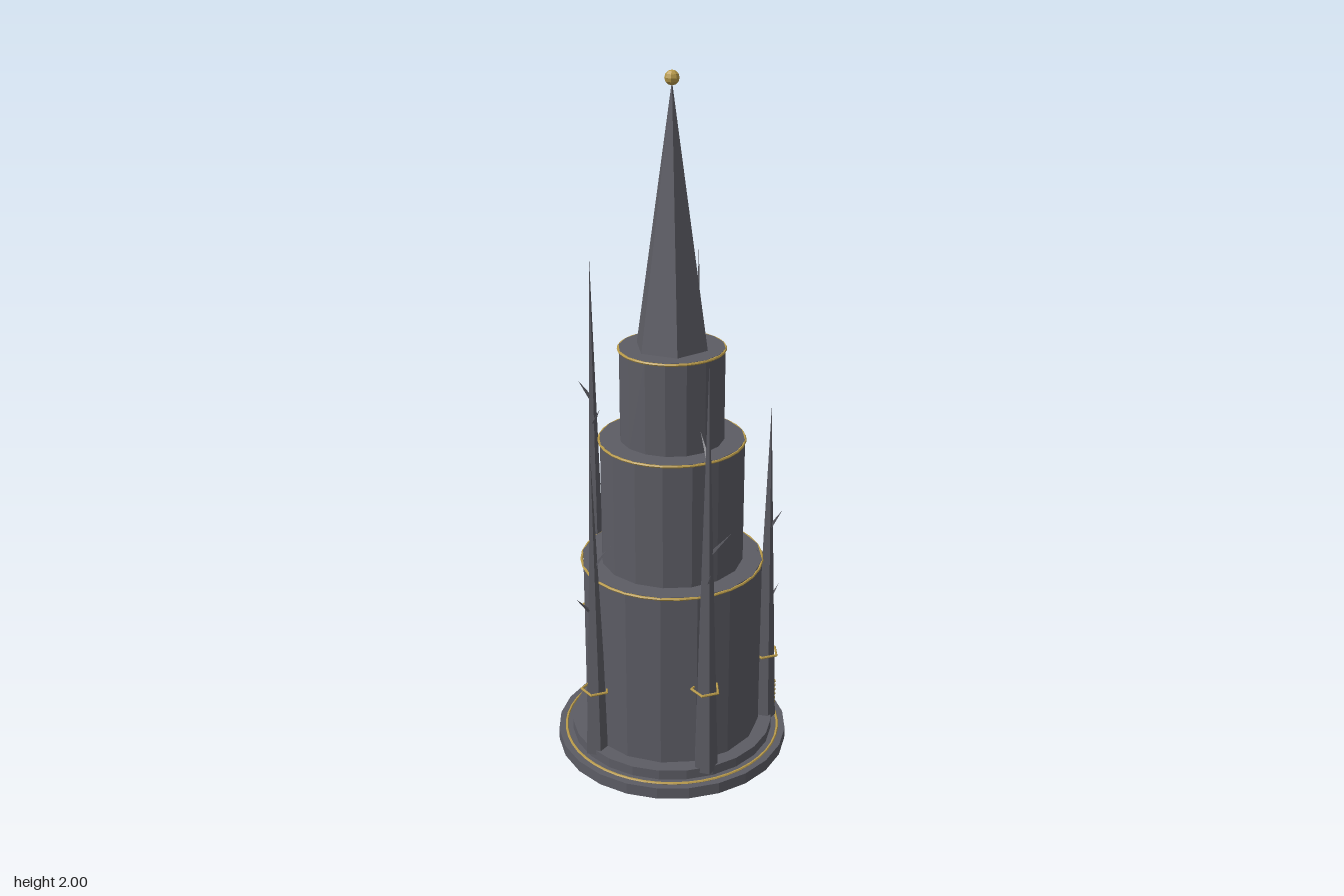
import * as THREE from 'three';

const stone = new THREE.MeshStandardMaterial({ color: 0x5c5c64, flatShading: true });
stone.name = 'stone';
const gold = new THREE.MeshStandardMaterial({ color: 0xb89a4a, flatShading: true });
gold.name = 'gold';

export function createModel() {
  const model = new THREE.Group();
  model.name = 'tower';

  const add = (parent, name, geometry, material, x = 0, y = 0, z = 0) => {
    const mesh = new THREE.Mesh(geometry, material);
    mesh.name = name;
    mesh.position.set(x, y, z);
    parent.add(mesh);
    return mesh;
  };
  const drum = (name, radius, y0, y1, sides) =>
    add(model, name, new THREE.CylinderGeometry(radius, radius, y1 - y0, sides), stone, 0, (y0 + y1) / 2, 0);
  const flatRing = (radius, tube, sides) =>
    new THREE.TorusGeometry(radius, tube, 6, sides).rotateX(Math.PI / 2);

  // Stepped base
  drum('baseSlab', 0.348, 0, 0.035, 24);
  drum('baseStep', 0.305, 0.035, 0.065, 24);
  add(model, 'baseTrim', flatRing(0.324, 0.004, 48), gold, 0, 0.036, 0);

  // Three tiers, each with a gold trim at its top edge
  [
    ['lowerTier', 0.265, 0.065, 0.608],
    ['middleTier', 0.208, 0.608, 0.983],
    ['upperTier', 0.149, 0.983, 1.253],
  ].forEach(([name, radius, y0, y1]) => {
    drum(name, radius, y0, y1, 16);
    add(model, name + 'Trim', flatRing(radius, 0.004, 32), gold, 0, y1 - 0.004, 0);
  });

  // Spire and finial
  add(model, 'spire', new THREE.ConeGeometry(0.106, 0.72, 6), stone, 0, 1.613, 0);
  add(model, 'finial', new THREE.SphereGeometry(0.02, 8, 6), gold, 0, 1.98, 0);

  // Thorned pinnacles: top height, then thorns as [tip dx, tip dz, tip y]
  const pinnacles = [
    [1.0, [[-0.006, 0.055, 0.57], [0.024, -0.046, 0.72], [-0.022, -0.015, 0.45]]],
    [1.285, [[-0.043, -0.008, 1.09], [0.029, -0.06, 0.8], [0.032, 0.012, 0.7]]],
    [1.07, [[-0.03, 0.02, 0.62], [0.028, -0.028, 0.75], [0.01, -0.04, 0.5]]],
    [1.47, [[-0.032, 0.038, 1.23], [0.002, 0.048, 1.0], [0.028, -0.016, 1.12]]],
    [1.48, [[-0.032, -0.042, 0.79], [0.05, 0.01, 1.02], [-0.012, 0.04, 1.1]]],
  ];
  const up = new THREE.Vector3(0, 1, 0);
  pinnacles.forEach(([top, thorns], i) => {
    const angle = (i * Math.PI * 2) / 5;
    const group = new THREE.Group();
    group.name = 'pinnacle' + (i + 1);
    group.position.set(0.282 * Math.sin(angle), 0, 0.282 * Math.cos(angle));
    const height = top - 0.05;
    add(group, 'pinnacleShaft', new THREE.ConeGeometry(0.037, height, 5), stone, 0, 0.05 + height / 2, 0);

    // Five-sided gold collar
    const collar = flatRing(0.041, 0.004, 5).rotateY(Math.PI / 2);
    add(group, 'pinnacleCollar', collar, gold, 0, 0.062 + 0.198 * top, 0);

    // Thorns lean outwards and up from the shaft
    thorns.forEach(([dx, dz, y]) => {
      const tip = new THREE.Vector3(dx, y, dz);
      const root = new THREE.Vector3(dx * 0.08, y - 0.06, dz * 0.08);
      const dir = tip.clone().sub(root);
      const thorn = add(group, 'thorn', new THREE.ConeGeometry(0.007, dir.length(), 4), stone);
      thorn.position.copy(root).addScaledVector(dir, 0.5);
      thorn.quaternion.setFromUnitVectors(up, dir.normalize());
    });
    model.add(group);
  });

  // Gold wheel with crossed spokes on the back wall
  const wheel = new THREE.Group();
  wheel.name = 'backWheel';
  wheel.position.set(0, 0.36, -0.272);
  add(wheel, 'wheelRim', new THREE.TorusGeometry(0.079, 0.004, 6, 24), gold);
  for (const turn of [0, Math.PI / 2]) {
    add(wheel, 'wheelSpoke', new THREE.BoxGeometry(0.156, 0.005, 0.005), gold).rotation.z = turn;
  }
  model.add(wheel);

  // Small ringed post at the back of the base
  const post = new THREE.Group();
  post.name = 'ringedPost';
  post.position.set(0.125, 0.035, -0.3);
  add(post, 'postCore', new THREE.CylinderGeometry(0.005, 0.005, 0.092, 6), stone, 0, 0.046, 0);
  for (let i = 0; i < 6; i++) {
    add(post, 'postRing', flatRing(0.009, 0.003, 10), gold, 0, 0.012 + i * 0.015, 0);
  }
  model.add(post);

  return model;
}
